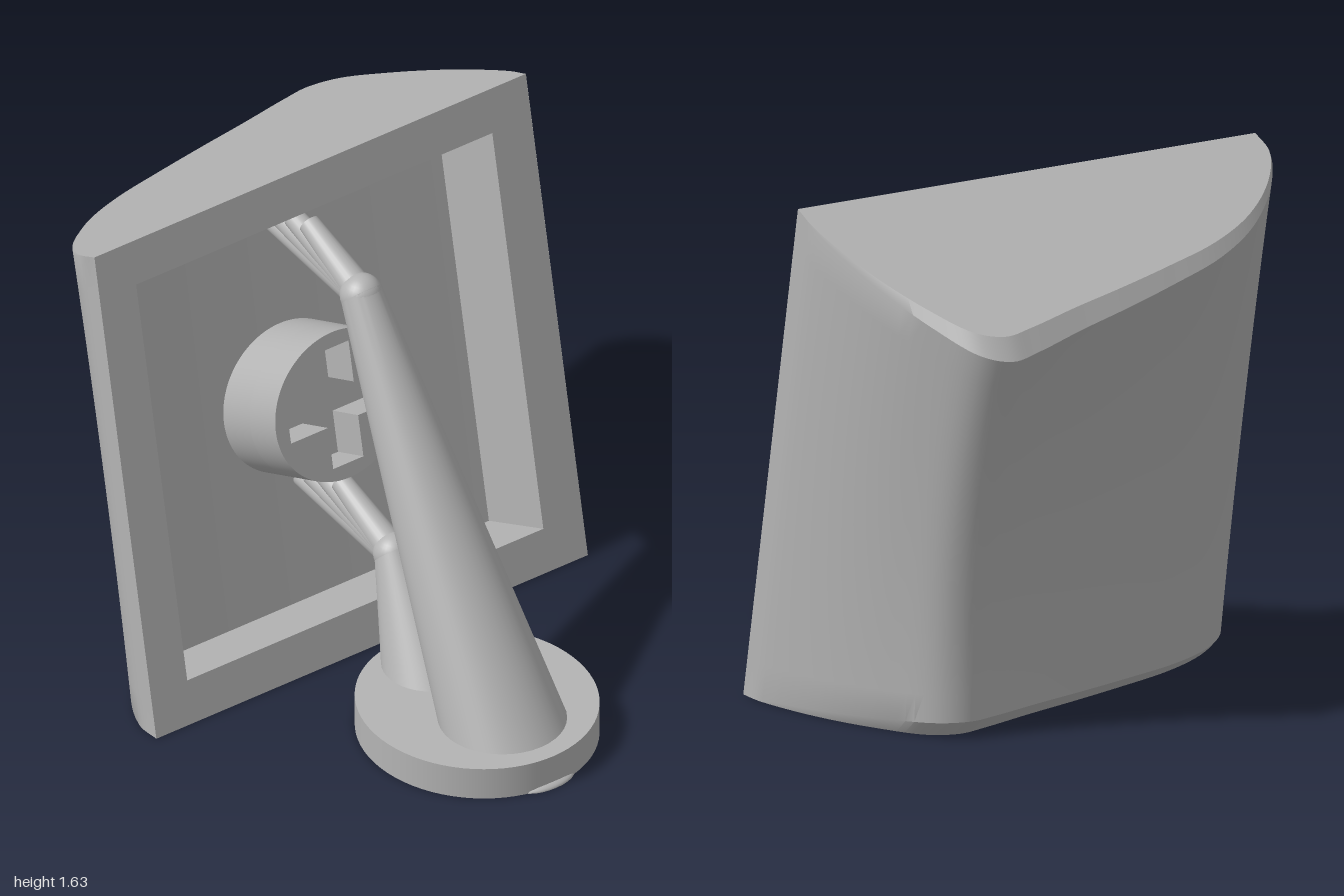
import * as THREE from 'three';
import { toCreasedNormals } from 'three/addons/utils/BufferGeometryUtils.js';

const V = (x, y, z) => new THREE.Vector3(x, y, z);
const grey = new THREE.MeshStandardMaterial({ color: 0xb4b4b4, side: THREE.DoubleSide });
grey.name = 'plain grey';

// Skin a list of equal-length point rings
function loft(rings, crease = 0.5) {
  const n = rings[0].length, index = [];
  for (let i = 0; i < rings.length - 1; i++) {
    for (let j = 0; j < n - 1; j++) {
      const a = i * n + j, b = a + 1, c = a + n, d = c + 1;
      index.push(a, c, b, b, c, d);
    }
  }
  const g = new THREE.BufferGeometry().setFromPoints(rings.flat());
  g.setIndex(index);
  return toCreasedNormals(g, crease);
}

function add(parent, name, geometry) {
  const mesh = new THREE.Mesh(geometry, grey);
  mesh.name = name;
  parent.add(mesh);
  return mesh;
}

// Tapered rod between two points
function rod(parent, name, a, b, ra, rb) {
  const dir = b.clone().sub(a);
  const mesh = add(parent, name, new THREE.CylinderGeometry(rb, ra, dir.length(), 24));
  mesh.position.copy(a).lerp(b, 0.5);
  mesh.quaternion.setFromUnitVectors(V(0, 1, 0), dir.normalize());
}

function rect(Type, x0, x1, y0, y1) {
  const p = new Type();
  p.moveTo(x0, y0).lineTo(x1, y0).lineTo(x1, y1).lineTo(x0, y1).closePath();
  return p;
}

// Curved housing: one asymmetric section (depth, z) swept from bottom to top
function addHousing(group) {
  const section = new THREE.CatmullRomCurve3([
    [0, 0.83], [0.09, 0.828], [0.22, 0.75], [0.36, 0.6], [0.46, 0.42], [0.535, 0.2], [0.595, 0],
    [0.65, -0.2], [0.71, -0.4], [0.73, -0.5], [0.69, -0.59], [0.55, -0.68], [0.34, -0.77], [0.1, -0.828], [0, -0.83],
  ].map(([d, z]) => V(d, 0, z)), false, 'centripetal').getPoints(84);
  const ring = (f) => section.map((p) => f(Math.max(0, p.x), p.z));
  const low = (d, z) => V(0.05 - 1.1 * d, 0.075 * d, z);
  const high = (d, z) => V(-0.27 - d, 1.63 - 0.5 * d, z);

  const rings = [ring(() => V(0.05, 0, 0)), ring((d, z) => V(0.05 - 1.01 * d, 0, z))];
  for (let i = 0; i <= 14; i++) {
    const t = i / 14;
    rings.push(ring((d, z) => {
      const p = low(d, z).lerp(high(d, z), t);
      p.x += 0.3 * d * t * (1 - t);
      return p;
    }));
  }
  rings.push(ring((d, z) => V(-0.27 - 0.94 * d, 1.63 - 0.404 * d, z)), ring(() => V(-0.27, 1.63, 0)));
  add(group, 'housing', loft(rings));
}

// Tilted face with its recess and drum, made flat then sheared into place
function addFace(group) {
  const place = new THREE.Matrix4().makeBasis(V(0, 0, -1), V(-0.193, 0.981, 0), V(0.94, 0.4035, 0));
  place.setPosition(0.05, 0, 0);
  const y0 = 0.148, y1 = 1.514;

  const frame = rect(THREE.Shape, -0.83, 0.83, 0, 1.661);
  frame.holes.push(rect(THREE.Path, -0.69, 0.68, y0, y1));
  add(group, 'frame', new THREE.ShapeGeometry(frame).applyMatrix4(place));

  const wall = [[0.68, 0], [0.67, -0.285], [-0.55, -0.285], [-0.6, -0.265], [-0.64, -0.24], [-0.675, -0.2], [-0.69, 0]];
  const ring = (y) => wall.map(([x, d]) => V(x, y, d));
  const centre = (y) => wall.map(() => V(0, y, 0));
  add(group, 'recess', loft([centre(y0), ring(y0), ring(y1), centre(y1)]).applyMatrix4(place));

  const disc = () => new THREE.Shape().absarc(0, 0.836, 0.25, 0, Math.PI * 2);
  const a = 0.2, b = 0.058;
  const cross = [[-a, -b], [-b, -b], [-b, -a], [b, -a], [b, -b], [a, -b], [a, b], [b, b], [b, a], [-b, a], [-b, b], [-a, b]];
  const slotted = disc();
  slotted.holes.push(new THREE.Path(cross.map(([x, y]) => new THREE.Vector2(x, y + 0.836))));
  const slab = (shape, depth, z) => toCreasedNormals(
    new THREE.ExtrudeGeometry(shape, { depth, bevelEnabled: false, curveSegments: 56 }).translate(0, 0, z), 0.5,
  ).applyMatrix4(place);
  add(group, 'drumFront', slab(slotted, 0.14, -0.14));
  add(group, 'drumBack', slab(disc(), 0.145, -0.285));
}

// Arm rising from a flat round foot to a slanted wrist, with four fingers
function addArm(group, name, foot, footRadius, wrist, wristRadius) {
  const arm = new THREE.Group();
  arm.name = name;
  group.add(arm);
  const circle = (c, r, tilt) => Array.from({ length: 41 }, (_, i) => {
    const t = (i / 40) * Math.PI * 2;
    return V(c.x + r * Math.cos(t) * Math.cos(tilt), c.y + r * Math.cos(t) * Math.sin(tilt), c.z + r * Math.sin(t));
  });
  const bottom = circle(foot, footRadius, 0), top = circle(wrist, wristRadius, Math.PI / 4);
  const rings = [];
  for (let i = 0; i <= 6; i++) rings.push(bottom.map((p, j) => p.clone().lerp(top[j], i / 6)));
  add(arm, 'sleeve', loft(rings, 1));
  add(arm, 'wrist', new THREE.SphereGeometry(wristRadius, 28, 18)).position.copy(wrist);
  for (const [x, y] of [[-0.27, 0.115], [-0.35, 0.095], [-0.42, 0.06], [-0.47, 0.025]]) {
    rod(arm, 'finger', wrist, wrist.clone().add(V(x, y, 0)), 0.052, 0.034);
  }
}

export function createModel() {
  const group = new THREE.Group();
  group.name = 'wallUnitWithArms';
  addHousing(group);
  addFace(group);

  // Round base with a small foot at its outer edge
  add(group, 'base', new THREE.CylinderGeometry(1, 1, 0.11, 72).scale(0.392, 1, 0.37).translate(0.592, 0.055, 0));
  add(group, 'baseFoot', new THREE.SphereGeometry(1, 24, 8, 0, Math.PI * 2, 0, Math.PI / 2)
    .scale(0.05, 0.02, 0.1).translate(0.95, 0, 0));

  addArm(group, 'upperArm', V(0.722, 0.11, 0), 0.2, V(-0.005, 1.295, 0), 0.068);
  addArm(group, 'lowerArm', V(0.355, 0.11, 0), 0.155, V(0.16, 0.418, 0), 0.064);
  return group;
}
